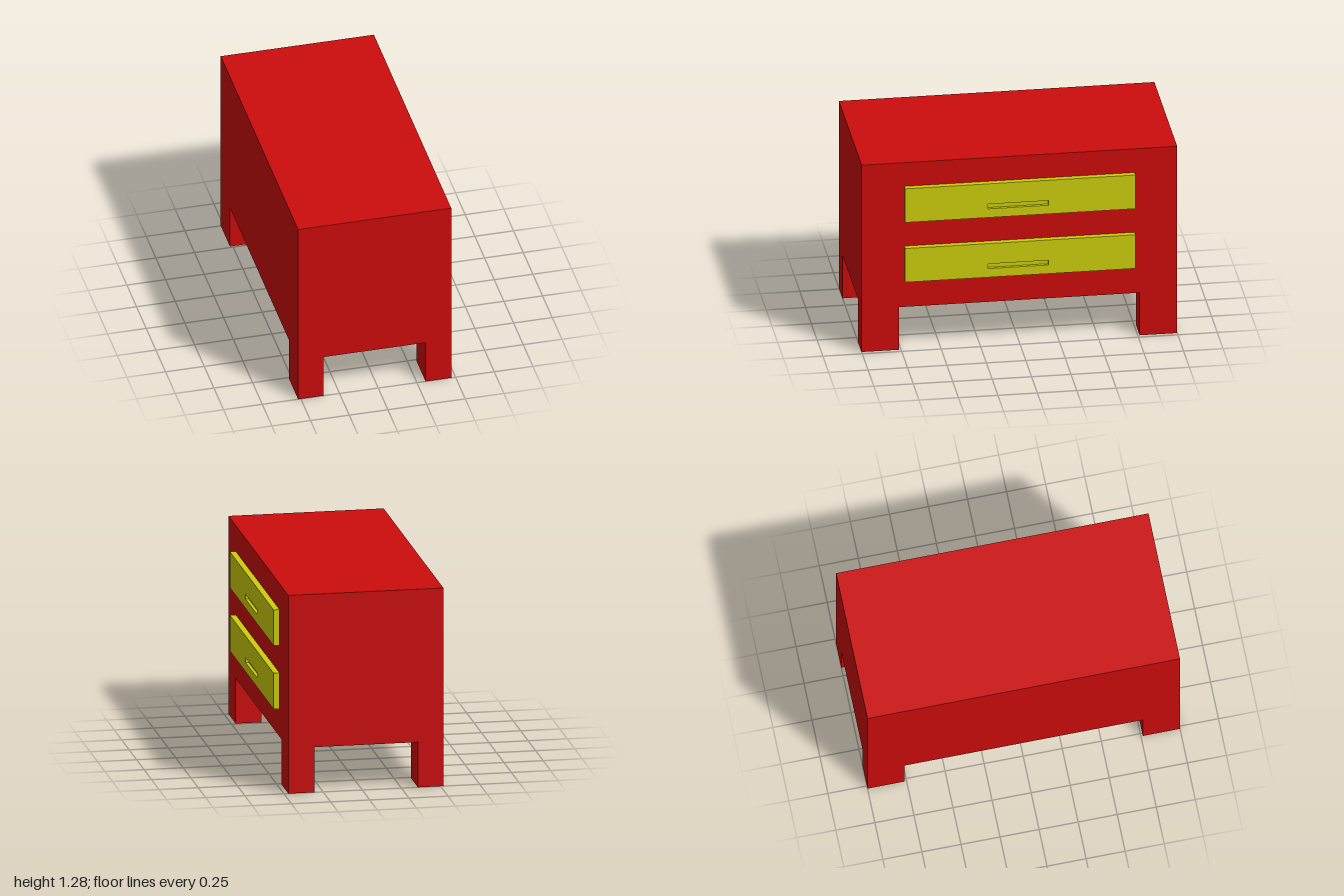
import * as THREE from 'three';

const red = new THREE.MeshStandardMaterial({ color: 0xcc0c0c, flatShading: true });
const yellow = new THREE.MeshStandardMaterial({ color: 0xcccc0c, flatShading: true });

// Box given by its minimum and maximum corners
function box(name, [x0, y0, z0], [x1, y1, z1], material) {
  const mesh = new THREE.Mesh(new THREE.BoxGeometry(x1 - x0, y1 - y0, z1 - z0), material);
  mesh.position.set((x0 + x1) / 2, (y0 + y1) / 2, (z0 + z1) / 2);
  mesh.name = name;
  return mesh;
}

function rectangle(path, x0, y0, x1, y1) {
  path.moveTo(x0, y0);
  path.lineTo(x1, y0);
  path.lineTo(x1, y1);
  path.lineTo(x0, y1);
  path.closePath();
  return path;
}

// Drawer front with a recessed grip, facing +x
function createDrawer(name, bottom) {
  const drawer = new THREE.Group();
  drawer.name = name;
  const height = 0.232, halfWidth = 0.73;

  // Front layer pierced by the grip slot
  const shape = rectangle(new THREE.Shape(), -halfWidth, 0, halfWidth, height);
  shape.holes.push(rectangle(new THREE.Path(), -0.205, 0.06, 0.178, 0.092));
  const panel = new THREE.Mesh(
    new THREE.ExtrudeGeometry(shape, { depth: 0.02, bevelEnabled: false }), yellow);
  panel.rotation.y = Math.PI / 2;
  panel.position.x = 0.495;
  panel.name = 'drawerPanel';

  // Solid layer closing the slot, and the drawer box meeting the cabinet
  drawer.add(
    panel,
    box('drawerBacking', [0.476, 0, -halfWidth], [0.495, height, halfWidth], yellow),
    box('drawerBox', [0.46, -0.003, -0.69], [0.478, 0.185, 0.685], yellow)
  );
  drawer.position.y = bottom;
  return drawer;
}

export function createModel() {
  const model = new THREE.Group();
  model.name = 'chestOfDrawers';
  model.add(box('cabinet', [-0.518, 0.293, -1], [0.472, 1.285, 1], red));

  // Four corner legs
  for (const [x0, x1] of [[-0.518, -0.355], [0.306, 0.472]]) {
    for (const [z0, z1] of [[-1, -0.762], [0.762, 1]]) {
      model.add(box('leg', [x0, 0, z0], [x1, 0.293, z1], red));
    }
  }

  model.add(createDrawer('lowerDrawer', 0.481), createDrawer('upperDrawer', 0.892));
  return model;
}
